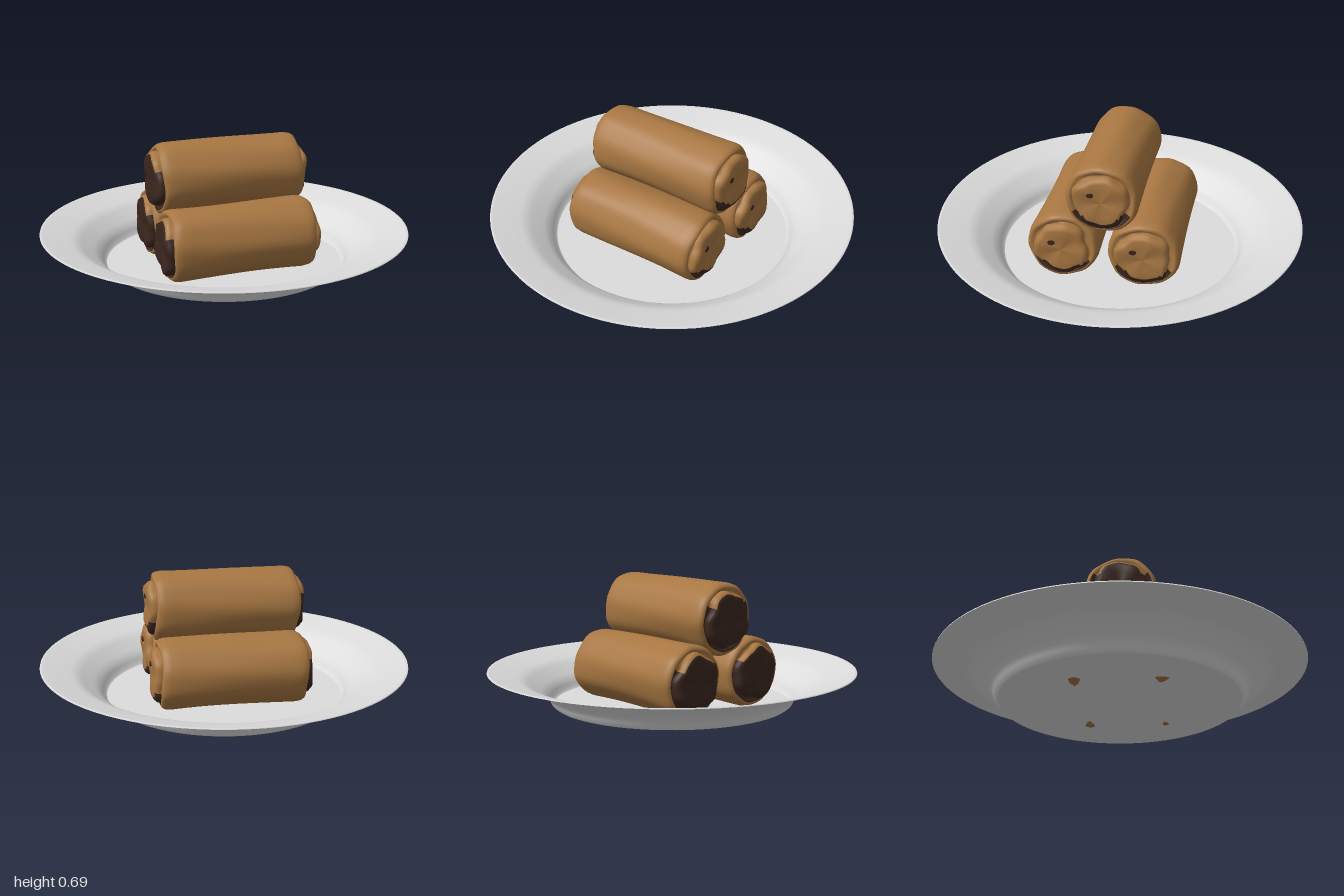
import * as THREE from 'three';

const porcelain = new THREE.MeshStandardMaterial({ color: 0xdcdcdc, side: THREE.DoubleSide });
porcelain.name = 'porcelain';
const pastry = new THREE.MeshStandardMaterial({ color: 0xa87742 });
pastry.name = 'pastry';
const filling = new THREE.MeshStandardMaterial({ color: 0x3a261e });
filling.name = 'darkFilling';

const SIDES = 56;
const v2 = (list) => list.map(([x, y]) => new THREE.Vector2(x, y));

// One end of a roll, from the centre of the face outwards: [distance from middle, radius]
const END = [
  [0.414, 0], [0.416, 0.04], [0.42, 0.08], [0.422, 0.115], [0.417, 0.132], [0.405, 0.143],
  [0.388, 0.146], [0.37, 0.142], [0.38, 0.155], [0.387, 0.166], [0.383, 0.178], [0.368, 0.187], [0.34, 0.191],
];

// Lumpy roll along x, built from loops; dark filling shows at the ends
function rollGeometry(seed) {
  const stations = END.map(([x, r]) => [-x, r]);
  for (let i = 1; i < 16; i++) {
    const x = -0.34 + (0.68 * i) / 16;
    stations.push([x, 0.187 + 0.004 * (x / 0.34) ** 2]);
  }
  stations.push(...[...END].reverse());
  const last = stations.length - 1;

  const pos = [];
  stations.forEach(([x, r], i) => {
    const fromEnd = Math.min(i, last - i);
    const knob = fromEnd < 8;
    for (let j = 0; j < SIDES; j++) {
      const a = (j / SIDES) * Math.PI * 2;
      const k = seed + (x > 0 ? 2 : 0);
      const lump = knob
        ? 0.05 * Math.sin(3 * a + k) + 0.03 * Math.sin(5 * a + 2 * k) + 0.02 * Math.sin(9 * a + k)
        : 0.012 * Math.sin(4 * a + 5 * x + seed) + 0.009 * Math.sin(9 * a - 4 * x + seed);
      const rr = r * (1 + lump);
      // wavy end faces and a slightly uneven wrapper edge
      const dx = knob ? 0.006 * Math.sin(4 * a + k) * (r / 0.14) : 0.006 * Math.sin(3 * a + seed);
      pos.push(x + dx, rr * Math.cos(a) + 0.004 * Math.sin(6 * x + seed), rr * Math.sin(a));
    }
  });

  const crust = [], dark = [];
  for (let i = 0; i < last; i++) {
    const fromEnd = Math.min(i, last - 1 - i);
    const left = i < last / 2;
    for (let j = 0; j < SIDES; j++) {
      const up = Math.cos(((j + 0.5) / SIDES) * Math.PI * 2);
      let isDark = false;
      if (fromEnd < 4) isDark = left || (fromEnd === 3 && up < -0.6);
      else if (fromEnd < 9) isDark = up < (left ? 0.55 : -0.45);
      const n = (j + 1) % SIDES;
      const a = i * SIDES + j, b = i * SIDES + n;
      const c = a + SIDES, d = b + SIDES;
      (isDark ? dark : crust).push(a, b, c, b, d, c);
    }
  }
  const g = new THREE.BufferGeometry();
  g.setAttribute('position', new THREE.Float32BufferAttribute(pos, 3));
  g.setIndex(crust.concat(dark));
  g.addGroup(0, crust.length, 0);
  g.addGroup(crust.length, dark.length, 1);
  g.computeVertexNormals();
  return g;
}

function makeRoll(name, x, y, z, tilt, seed) {
  const roll = new THREE.Group();
  roll.name = name;
  const body = new THREE.Mesh(rollGeometry(seed), [pastry, filling]);
  body.name = 'rolledPastry';
  roll.add(body);
  // small dark hollow on the right end
  const spot = new THREE.Mesh(new THREE.CylinderGeometry(0.02, 0.02, 0.008, 7), filling);
  spot.name = 'fillingSpot';
  spot.rotation.z = Math.PI / 2;
  spot.scale.x = 0.7;
  spot.position.set(0.42, 0.042, 0.05);
  roll.add(spot);
  roll.position.set(x, y, z);
  roll.rotation.z = tilt;
  return roll;
}

export function createModel() {
  const model = new THREE.Group();
  model.name = 'pastryRollsOnPlate';

  // Plate: flat floor, curved well and wide sloping rim
  const plate = new THREE.Group();
  plate.name = 'plate';
  const floor = new THREE.Mesh(new THREE.CircleGeometry(0.647, 96), porcelain);
  floor.name = 'plateFloor';
  floor.rotation.x = -Math.PI / 2;
  floor.position.y = 0.008;
  const wall = new THREE.Mesh(new THREE.LatheGeometry(v2([
    [0.647, 0.008], [0.66, 0.018], [0.67, 0.04], [0.687, 0.065], [0.715, 0.088],
    [0.75, 0.11], [0.78, 0.132], [0.81, 0.149], [0.84, 0.158], [0.92, 0.178], [1, 0.196],
  ]), 96), porcelain);
  wall.name = 'plateRim';
  const lip = new THREE.Mesh(new THREE.LatheGeometry(v2([[1, 0.196], [0.998, 0.202], [0.985, 0.199]]), 96), porcelain);
  lip.name = 'plateLip';
  plate.add(floor, wall, lip);
  model.add(plate);

  // Three stacked rolls
  model.add(
    makeRoll('frontRoll', -0.005, 0.198, 0.235, 0, 0.4),
    makeRoll('backRoll', 0.005, 0.198, -0.198, 0, 1.3),
    makeRoll('topRoll', 0, 0.502, 0.022, 0.018, 2.2),
  );
  return model;
}
